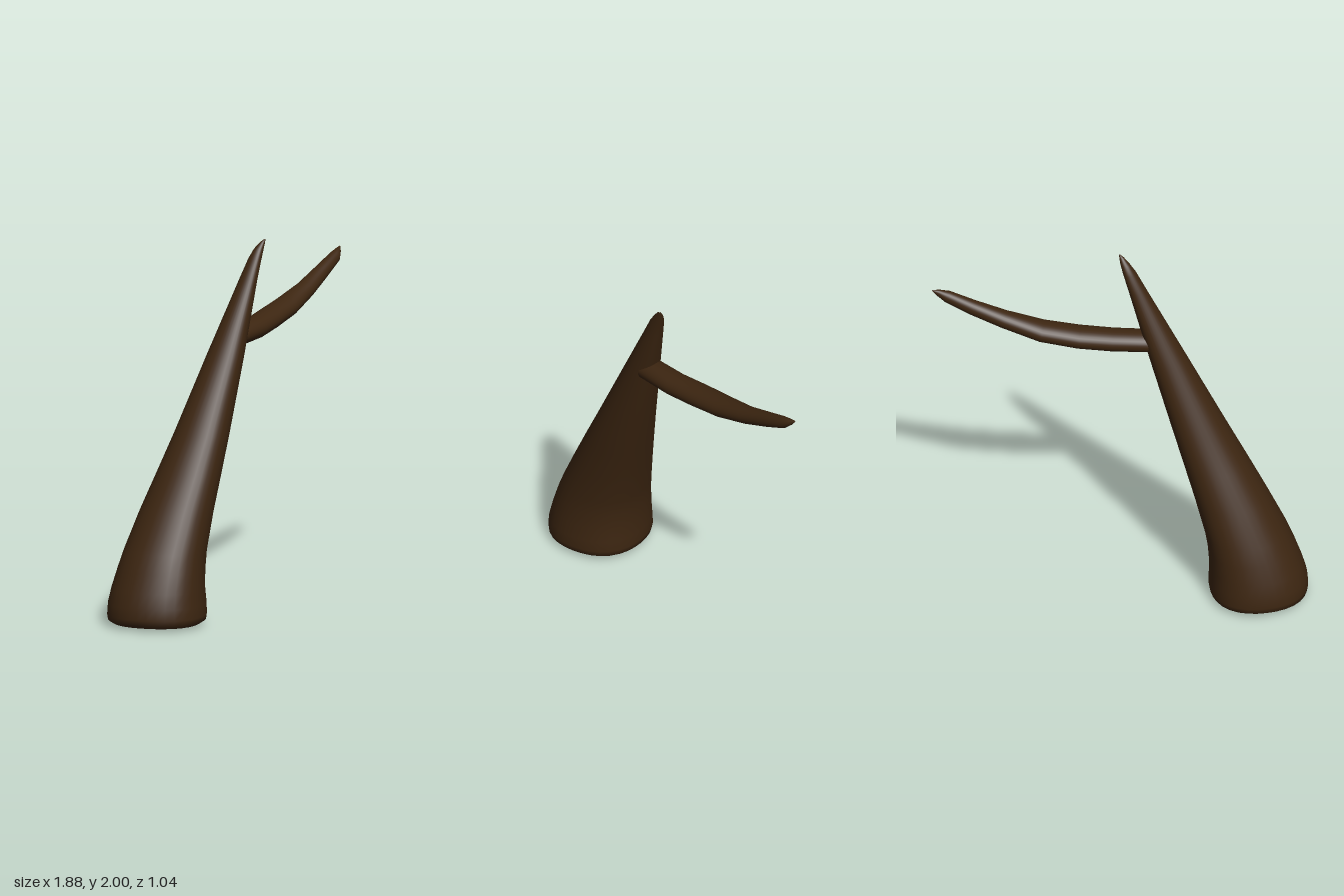
import * as THREE from 'three';

const SIDES = 32;

// Skin of a closed tube through rings { c: centre, u, v: half-axis vectors }
function loft(rings, lobe = 0) {
  const pos = [], index = [];
  for (const { c, u, v } of rings) {
    for (let i = 0; i < SIDES; i++) {
      const a = (i / SIDES) * Math.PI * 2;
      const r = 1 - lobe + lobe * Math.cos(4 * a);
      const p = c.clone().addScaledVector(u, r * Math.cos(a)).addScaledVector(v, r * Math.sin(a));
      pos.push(p.x, p.y, p.z);
    }
  }
  for (let j = 0; j < rings.length - 1; j++) {
    for (let i = 0; i < SIDES; i++) {
      const a = j * SIDES + i, b = j * SIDES + ((i + 1) % SIDES);
      index.push(a, b, b + SIDES, a, b + SIDES, a + SIDES);
    }
  }
  const g = new THREE.BufferGeometry();
  g.setAttribute('position', new THREE.Float32BufferAttribute(pos, 3));
  g.setIndex(index);
  g.computeVertexNormals();
  return g;
}

export function createModel() {
  const group = new THREE.Group();
  const bark = new THREE.MeshStandardMaterial({ color: 0x3d2611 });
  bark.name = 'darkBark';
  const add = (name, geometry) => {
    const mesh = new THREE.Mesh(geometry, bark);
    mesh.name = name;
    group.add(mesh);
    return mesh;
  };

  // Leaning trunk: y, then x and z extents of each level
  const levels = [
    [0, -0.735, -0.595, 0.165, 0.305],
    [0.006, -0.86, -0.47, 0.03, 0.44],
    [0.014, -0.91, -0.42, -0.015, 0.49],
    [0.03, -0.935, -0.395, -0.04, 0.515],
    [0.06, -0.94, -0.39, -0.046, 0.52],
    [0.12, -0.935, -0.392, -0.043, 0.515],
    [0.2, -0.91, -0.397, -0.037, 0.5],
    [0.3, -0.87, -0.39, -0.03, 0.48],
    [0.4, -0.825, -0.373, -0.025, 0.457],
    [0.6, -0.72, -0.315, -0.017, 0.41],
    [0.8, -0.605, -0.25, -0.008, 0.365],
    [1.0, -0.49, -0.185, 0, 0.318],
    [1.4, -0.27, -0.06, 0.012, 0.222],
    [1.8, -0.042, 0.055, 0.023, 0.127],
    [1.9, 0.015, 0.087, 0.027, 0.105],
    [1.95, 0.05, 0.105, 0.037, 0.088],
    [1.985, 0.087, 0.115, 0.052, 0.075],
    [2.0, 0.113, 0.117, 0.062, 0.066],
  ];
  add('trunk', loft(levels.map(([y, x0, x1, z0, z1]) => ({
    c: new THREE.Vector3((x0 + x1) / 2, y, (z0 + z1) / 2),
    u: new THREE.Vector3(0, 0, (z1 - z0) / 2),
    v: new THREE.Vector3((x1 - x0) / 2, 0, 0),
  })), 0.02));

  // Flat disc closing the underside
  const base = add('trunkBase', new THREE.CircleGeometry(0.07, SIDES));
  base.rotation.x = Math.PI / 2;
  base.position.set(-0.665, 0, 0.235);

  // Upswept side branch: x, y, z, half width, half height
  const stations = [
    [-0.105, 1.495, 0.105, 0.004, 0.004],
    [-0.1, 1.495, 0.102, 0.045, 0.035],
    [-0.08, 1.495, 0.09, 0.073, 0.057],
    [0.1, 1.5, -0.025, 0.076, 0.058],
    [0.25, 1.52, -0.127, 0.079, 0.057],
    [0.42, 1.553, -0.23, 0.075, 0.054],
    [0.6, 1.615, -0.325, 0.055, 0.047],
    [0.75, 1.683, -0.408, 0.042, 0.041],
    [0.87, 1.743, -0.47, 0.032, 0.033],
    [0.91, 1.77, -0.5, 0.016, 0.018],
    [0.935, 1.788, -0.522, 0.002, 0.002],
  ];
  const centres = stations.map(s => new THREE.Vector3(s[0], s[1], s[2]));
  const up = new THREE.Vector3(0, 1, 0);
  add('branch', loft(stations.map((s, i) => {
    const t = centres[Math.min(i + 1, centres.length - 1)].clone()
      .sub(centres[Math.max(i - 1, 0)]).normalize();
    const side = up.clone().cross(t).normalize();
    const rise = t.clone().cross(side);
    return { c: centres[i], u: side.multiplyScalar(s[3]), v: rise.multiplyScalar(s[4]) };
  })));

  return group;
}
